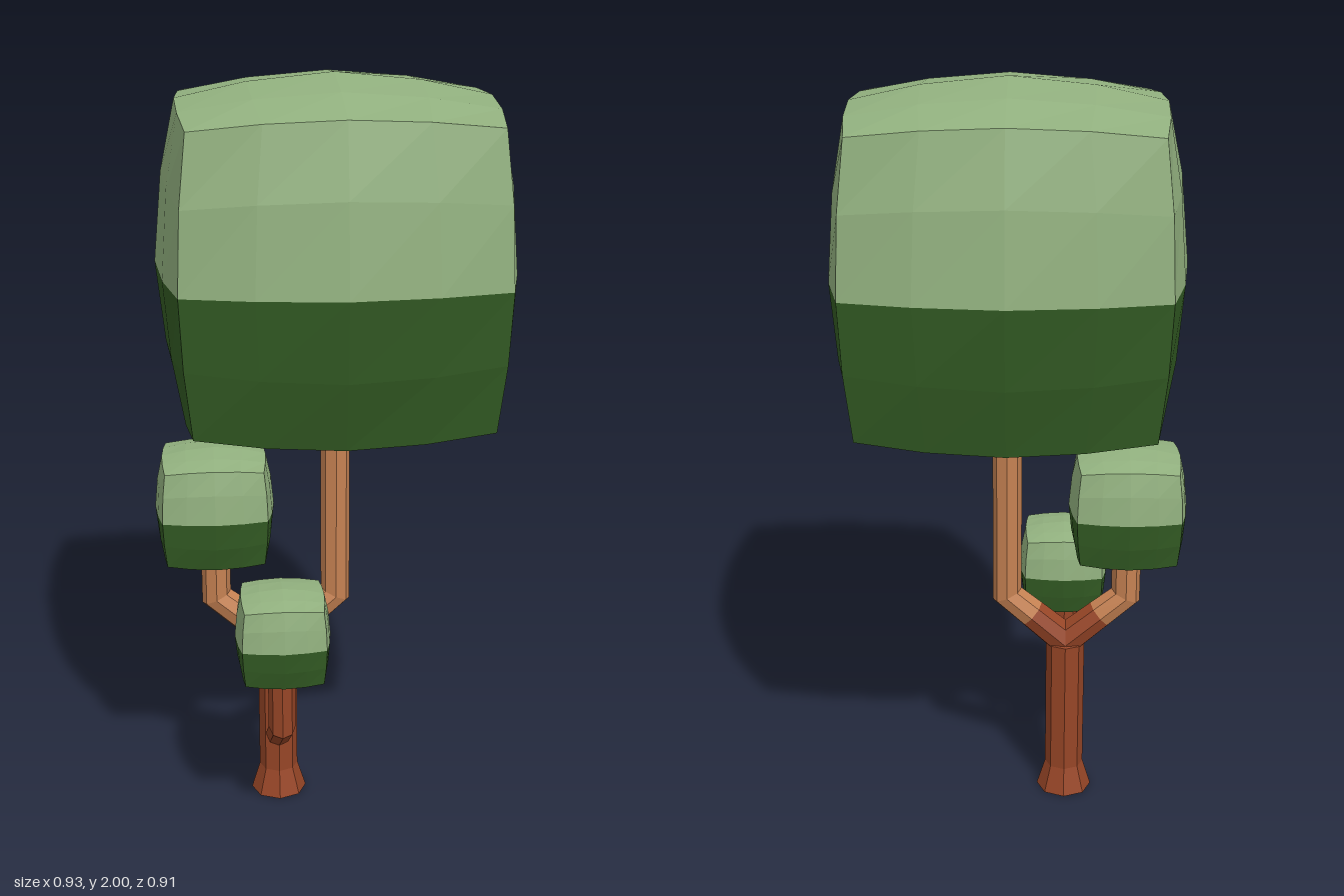
import * as THREE from 'three';

const flat = (name, color) => new THREE.MeshStandardMaterial({ name, color, flatShading: true });

// Puffed cube of leaves: a box blended towards a sphere, light above and dark below
function foliage(name, half, position, light, dark) {
  const geo = new THREE.BoxGeometry(2, 2, 2, 4, 4, 4);
  const pos = geo.attributes.position;
  const v = new THREE.Vector3();
  for (let i = 0; i < pos.count; i++) {
    v.fromBufferAttribute(pos, i);
    const equator = Math.abs(v.y) < 1e-6;
    v.multiplyScalar(0.55).addScaledVector(v.clone().normalize(), 0.45).multiplyScalar(half);
    if (equator) v.y -= 0.025 * half;
    pos.setXYZ(i, v.x, v.y, v.z);
  }
  const upper = [], lower = [];
  const index = geo.index.array;
  for (let i = 0; i < index.length; i += 3) {
    const tri = [index[i], index[i + 1], index[i + 2]];
    const y = tri.reduce((sum, k) => sum + pos.getY(k), 0);
    (y > 0 ? upper : lower).push(...tri);
  }
  geo.setIndex([...upper, ...lower]);
  geo.clearGroups();
  geo.addGroup(0, upper.length, 0);
  geo.addGroup(upper.length, lower.length, 1);
  geo.computeVertexNormals();
  const mesh = new THREE.Mesh(geo, [light, dark]);
  mesh.name = name;
  mesh.position.set(...position);
  return mesh;
}

// Eight-sided limb with mitred bends; points are [x, y, z, radius], all in the plane across binormal
function limb(name, points, binormal, segmentMaterials, materials) {
  const sides = 8;
  const p = points.map(([x, y, z]) => new THREE.Vector3(x, y, z));
  const dirs = p.slice(1).map((q, i) => q.clone().sub(p[i]).normalize());
  const verts = [], index = [];
  const geo = new THREE.BufferGeometry();
  p.forEach((c, i) => {
    const before = dirs[Math.max(i - 1, 0)], after = dirs[Math.min(i, dirs.length - 1)];
    const t = before.clone().add(after).normalize();
    const n = binormal.clone().cross(t).divideScalar(t.dot(after));
    for (let j = 0; j < sides; j++) {
      const a = (j / sides) * Math.PI * 2, r = points[i][3];
      const q = c.clone().addScaledVector(n, r * Math.cos(a)).addScaledVector(binormal, r * Math.sin(a));
      verts.push(q.x, q.y, q.z);
    }
  });
  for (let i = 0; i < dirs.length; i++) {
    for (let j = 0; j < sides; j++) {
      const a = i * sides + j, b = i * sides + (j + 1) % sides;
      index.push(a, b, b + sides, a, b + sides, a + sides);
    }
    geo.addGroup(i * sides * 6, sides * 6, segmentMaterials[i]);
  }
  geo.setAttribute('position', new THREE.Float32BufferAttribute(verts, 3));
  geo.setIndex(index);
  geo.computeVertexNormals();
  const mesh = new THREE.Mesh(geo, materials);
  mesh.name = name;
  return mesh;
}

export function createModel() {
  const leafLight = flat('light leaves', 0x92b17f);
  const leafDark = flat('dark leaves', 0x325a23);
  const barkDark = flat('dark bark', 0x964526);
  const barkLight = flat('light bark', 0xc58152);
  const barks = [barkDark, barkLight];

  const tree = new THREE.Group();
  tree.name = 'tree';

  // Trunk with a flared foot
  const profile = [[0, 0], [0.076, 0], [0.053, 0.075], [0.053, 0.455], [0, 0.475]];
  const trunk = new THREE.Mesh(
    new THREE.LatheGeometry(profile.map(([x, y]) => new THREE.Vector2(x, y)), 8), barkDark);
  trunk.name = 'trunk';
  trunk.position.x = -0.15;
  tree.add(trunk);

  // Fork: two limbs leave the trunk, bend upright and change to lighter bark on the slope
  const zAxis = new THREE.Vector3(0, 0, 1), xAxis = new THREE.Vector3(1, 0, 0);
  const fork = (name, x, top) => limb(name, [
    [-0.15, 0.46, 0, 0.046],
    [-0.15 + (x + 0.15) * 0.58, 0.54, 0, 0.042],
    [x, 0.598, 0, 0.039],
    [x, top, 0, 0.039],
  ], zAxis, [0, 1, 1], barks);
  tree.add(fork('mainBranch', 0.01, 1.2));
  tree.add(fork('rightBranch', -0.314, 0.8));

  // Low branch reaching forward
  tree.add(limb('frontBranch', [
    [-0.15, 0.165, 0, 0.036],
    [-0.15, 0.318, 0.233, 0.036],
    [-0.15, 0.55, 0.233, 0.036],
  ], xAxis, [0, 0], barks));

  // Leaf crowns
  tree.add(foliage('mainCrown', 0.456, [0.006, 1.544, 0], leafLight, leafDark));
  tree.add(foliage('rightCrown', 0.158, [-0.313, 0.87, 0], leafLight, leafDark));
  tree.add(foliage('frontCrown', 0.125, [-0.146, 0.59, 0.23], leafLight, leafDark));
  return tree;
}
